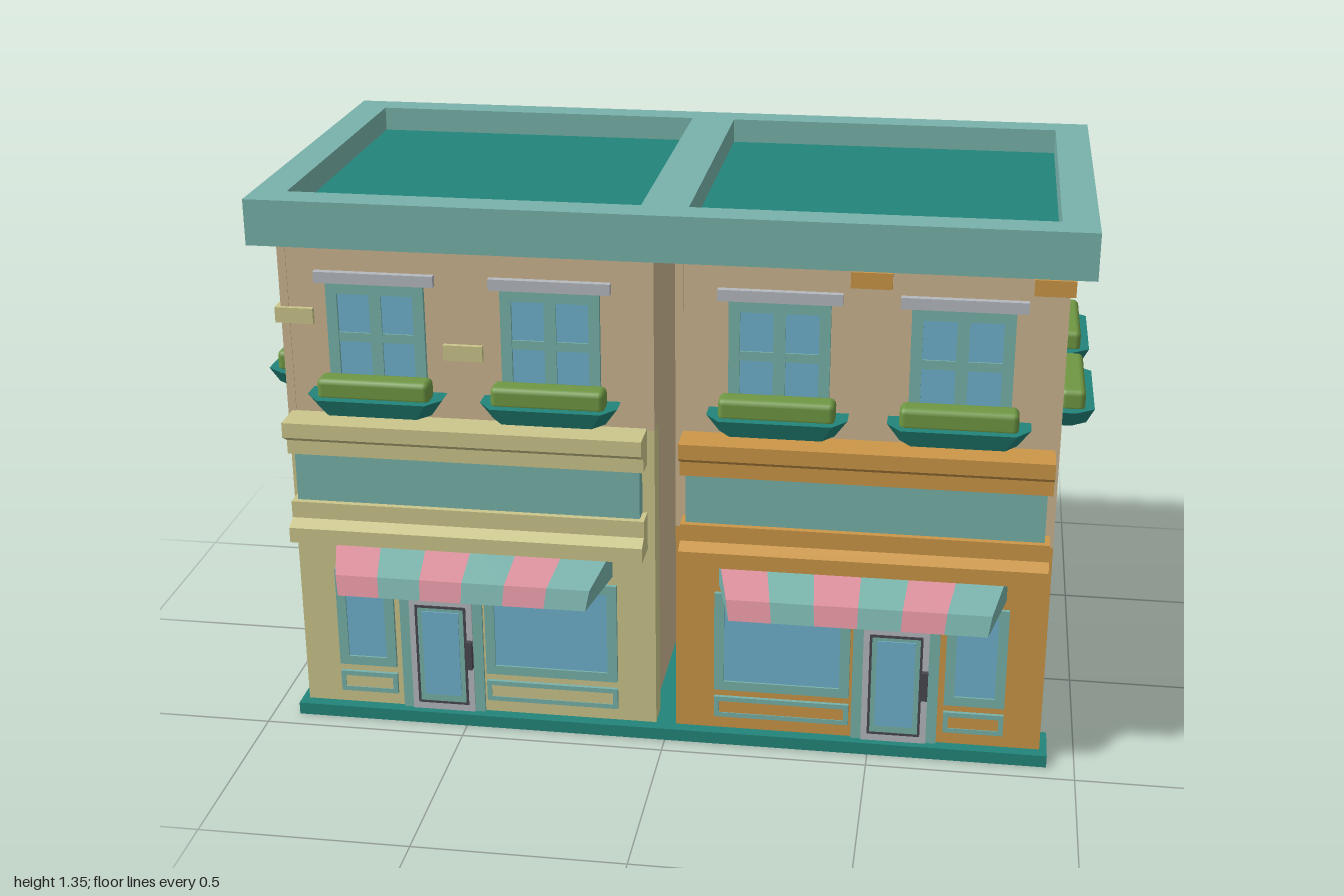
import * as THREE from 'three';
import { RoundedBoxGeometry } from 'three/addons/geometries/RoundedBoxGeometry.js';

const mat = (name, color) => {
  const m = new THREE.MeshStandardMaterial({ color });
  m.name = name;
  return m;
};
const M = {
  beige: mat('beige plaster', 0xcbb590),
  orange: mat('orange paint', 0xcb9647),
  olive: mat('olive paint', 0xcbc68b),
  teal: mat('pale teal trim', 0x78b2aa),
  dark: mat('deep teal', 0x22857a),
  glass: mat('window glass', 0x6fb1cd),
  grey: mat('grey stone', 0xb5b9bf),
  green: mat('leaf green', 0x6f9743),
  pink: mat('awning pink', 0xda8f9b),
  iron: mat('dark iron', 0x4a4750),
};

const FRONT = 0.42, BACK = -0.47, SIDE = 0.9, WINDOW_X = [0.267, 0.683];

function add(parent, name, geometry, material) {
  const mesh = new THREE.Mesh(geometry, material);
  mesh.name = name;
  parent.add(mesh);
  return mesh;
}
function box(parent, name, material, x0, x1, y0, y1, z0, z1) {
  const g = new THREE.BoxGeometry(Math.abs(x1 - x0), y1 - y0, Math.abs(z1 - z0));
  g.translate((x0 + x1) / 2, (y0 + y1) / 2, (z0 + z1) / 2);
  return add(parent, name, g, material);
}
function group(parent, name) {
  const g = new THREE.Group();
  g.name = name;
  parent.add(g);
  return g;
}
const polygon = pts => new THREE.Shape(pts.map(p => new THREE.Vector2(...p)));
const rect = (x0, x1, y0, y1) => [[x0, y0], [x1, y0], [x1, y1], [x0, y1]];
const extrude = (shape, depth) => new THREE.ExtrudeGeometry(shape, { depth, bevelEnabled: false });

// Rectangular frame with an open middle
function frame(parent, name, material, x0, x1, y0, y1, t, z0, depth) {
  const s = polygon(rect(x0, x1, y0, y1));
  s.holes.push(new THREE.Path(polygon(rect(x0 + t, x1 - t, y0 + t, y1 - t)).getPoints()));
  return add(parent, name, extrude(s, depth).translate(0, 0, z0), material);
}

// Flower box: chamfered plan, narrowing downwards, with a clipped hedge
function planter(parent, y) {
  const g = group(parent, 'flowerBox');
  const geo = extrude(polygon([[-0.163, 0], [0.163, 0], [0.163, 0.05], [0.13, 0.093], [-0.13, 0.093], [-0.163, 0.05]]), 0.042);
  const p = geo.attributes.position;
  for (let i = 0; i < p.count; i++) {
    const low = p.getZ(i) < 0.01;
    // plan y becomes outward z, extrusion becomes height; x flips to keep the winding
    p.setXYZ(i, -p.getX(i) * (low ? 0.82 : 1), y + p.getZ(i), p.getY(i) * (low ? 0.82 : 1));
  }
  geo.computeVertexNormals();
  add(g, 'trough', geo, M.dark);
  add(g, 'hedge', new RoundedBoxGeometry(0.27, 0.055, 0.058, 2, 0.014).translate(0, y + 0.06, 0.042), M.green);
}

// Window in a wall frame: x along the wall, z outwards
function windowUnit(parent, y, { columns = 1, sill = false, box: hasBox = false }) {
  const g = group(parent, 'window');
  const w = 0.117, h = 0.262;
  box(g, 'glass', M.glass, -w + 0.01, w - 0.01, y + 0.01, y + h - 0.01, 0, 0.004);
  frame(g, 'windowFrame', M.teal, -w, w, y, y + h, 0.026, 0, 0.012);
  box(g, 'transom', M.teal, -0.095, 0.095, y + 0.118, y + 0.14, 0, 0.008);
  if (columns === 2) box(g, 'mullion', M.teal, -0.014, 0.014, y + 0.02, y + h - 0.02, 0, 0.009);
  box(g, 'lintel', M.grey, -0.143, 0.143, y + h, y + h + 0.027, 0, 0.017);
  if (sill) box(g, 'sill', M.grey, -0.143, 0.143, y - 0.026, y, 0, 0.017);
  if (hasBox) planter(g, y - 0.045);
}
function wall(parent, name, x, z, turn) {
  const g = group(parent, name);
  g.position.set(x, 0, z);
  g.rotation.y = turn;
  return g;
}

// Flat-sided quads, corners counter-clockwise from outside
function quads(list) {
  const g = new THREE.BufferGeometry();
  const v = list.flatMap(([a, b, c, d]) => [a, b, c, a, c, d]).flat();
  g.setAttribute('position', new THREE.Float32BufferAttribute(v, 3));
  g.computeVertexNormals();
  return g;
}
function awning(parent, cx) {
  const g = group(parent, 'awning');
  const profile = [[0.495, FRONT, 0.343], [0.447, 0.55, 0.31], [0.4, 0.565, 0.302], [0.425, FRONT, 0.343]];
  const section = t => profile.map(([y, z, half]) => [cx + (2 * t - 1) * half, y, z]);
  for (let i = 0; i < 6; i++) {
    const a = section(i / 6), b = section((i + 1) / 6);
    const strips = [0, 1, 2].map(k => [a[k], a[k + 1], b[k + 1], b[k]]);
    add(g, 'awningStripe', quads(strips), i % 2 ? M.teal : M.pink);
  }
  const l = section(0), r = section(1);
  add(g, 'awningCheeks', quads([[l[0], l[3], l[2], l[1]], [r[0], r[1], r[2], r[3]]]), M.teal);
}

// Shop front: s mirrors the layout, door handle stays on the viewer's right
function shopFront(parent, s, paint) {
  const g = group(parent, 'shopFront');
  const span = (a, b) => (s > 0 ? [a, b] : [-b, -a]);
  for (const [a, b] of [[0.12, 0.45], [0.68, 0.825]]) {
    const [x0, x1] = span(a, b);
    box(g, 'shopGlass', M.glass, x0 + 0.01, x1 - 0.01, 0.15, 0.39, FRONT, FRONT + 0.005);
    frame(g, 'shopWindowFrame', M.teal, x0, x1, 0.14, 0.402, 0.024, FRONT, 0.01);
    box(g, 'lowerPanel', paint, x0 + 0.012, x1 - 0.012, 0.075, 0.11, FRONT, FRONT + 0.007);
    frame(g, 'lowerPanelTrim', M.teal, x0, x1, 0.065, 0.12, 0.012, FRONT, 0.009);
  }
  const [x0, x1] = span(0.457, 0.665);
  box(g, 'doorSurround', M.teal, x0, x1, 0.03, 0.368, FRONT, FRONT + 0.008);
  box(g, 'doorLeaf', M.grey, x0 + 0.025, x1 - 0.025, 0.03, 0.335, FRONT, FRONT + 0.012);
  frame(g, 'doorSash', M.iron, x0 + 0.04, x1 - 0.04, 0.05, 0.32, 0.006, FRONT, 0.015);
  box(g, 'doorPanel', M.teal, x0 + 0.045, x1 - 0.045, 0.055, 0.315, FRONT, FRONT + 0.014);
  box(g, 'doorGlass', M.glass, x0 + 0.058, x1 - 0.058, 0.075, 0.305, FRONT, FRONT + 0.017);
  box(g, 'doorHandle', M.iron, x1 - 0.04, x1 - 0.025, 0.155, 0.23, FRONT + 0.01, FRONT + 0.026);

  // Sign board between two stepped mouldings
  const [m0, m1] = span(0.043, 0.905);
  const moulding = (name, pts) => {
    const geo = extrude(polygon(pts), m1 - m0).rotateY(-Math.PI / 2).translate(m1, 0, 0);
    add(g, name, geo, paint);
  };
  moulding('upperMoulding', [[0.41, 0.725], [0.475, 0.725], [0.475, 0.76], [0.505, 0.778], [0.505, 0.815], [0.41, 0.815]]);
  moulding('lowerMoulding', [[0.41, 0.505], [0.505, 0.505], [0.505, 0.543], [0.475, 0.558], [0.475, 0.6], [0.41, 0.6]]);
  box(g, 'signBoard', M.teal, m0 + 0.012, m1 - 0.012, 0.59, 0.73, 0.41, 0.46);
  awning(g, s * 0.4725);
}

function building(root, s, paint, split) {
  const g = group(root, s > 0 ? 'orangeHouse' : 'oliveHouse');
  box(g, 'walls', M.beige, s * 0.04, s * SIDE, 0.03, 1.26, BACK + 0.002, FRONT - 0.002);
  box(g, 'paintedFront', paint, s * 0.04, s * SIDE, 0.03, split, FRONT - 0.004, FRONT);
  // Painted lower back, with ragged points on the olive house
  const outline = s > 0 ? rect(0.04, SIDE, 0.03, split)
    : [[-0.9, 0.03], [-0.04, 0.03], [-0.04, 0.82], [-0.07, 0.85], [-0.09, 0.92], [-0.12, 0.83], [-0.82, 0.83], [-0.85, 0.92], [-0.88, 0.83], [-0.9, 0.82]];
  add(g, 'paintedBack', extrude(polygon(outline), 0.004).translate(0, 0, BACK), paint);
  for (const [a, b] of [[0.025, 0.045], [0.895, 0.915]])
    for (const [z0, z1] of [[0.355, FRONT], [BACK, -0.4]]) {
      box(g, 'cornerStripLower', paint, s * a, s * b, 0.03, split, z0, z1);
      box(g, 'cornerStripUpper', M.beige, s * a, s * b, split, 1.26, z0, z1);
    }
  shopFront(g, s, paint);

  // Windows on three sides
  for (const x of WINDOW_X) {
    windowUnit(wall(g, 'frontWall', s * x, FRONT, 0), 0.883, { columns: 2, box: true });
    const back = wall(g, 'backWall', s * x, BACK, Math.PI);
    windowUnit(back, 0.14, { columns: 2 });
    windowUnit(back, 0.511, { columns: 2, box: true });
    windowUnit(back, 0.883, { columns: 2, box: true });
  }
  for (const z of [0.183, -0.232]) {
    const side = wall(g, 'sideWall', s * SIDE, z, s * Math.PI / 2);
    windowUnit(side, 0.14, { sill: true });
    windowUnit(side, 0.883, { box: true });
  }

  // Exposed bricks
  const brick = (x0, x1, y, z0, z1) => box(g, 'brick', paint, s * x0, s * x1, y, y + 0.038, z0, z1);
  for (const [z, y] of [[0.212, 0.68], [-0.028, 0.32], [-0.29, 0.755], [-0.317, 0.56]])
    brick(SIDE - 0.01, SIDE + 0.012, y, z - 0.047, z + 0.047);
  const rows = s > 0
    ? { back: [1.187, 0.705, 0.448, 0.15], front: 1.187, mid: [[0.473, 1.187, FRONT]], midBack: [1.187] }
    : { back: [1.13, 0.71, 0.455, 0.15], front: 1.04, mid: [[0.477, 0.965, FRONT]], midBack: [0.965, 0.57, 0.22] };
  for (const y of rows.back) brick(0.835, 0.927, y, BACK - 0.01, -0.438);
  brick(0.835, 0.927, rows.front, 0.39, FRONT + 0.01);
  for (const [x, y, z] of rows.mid) brick(x - 0.047, x + 0.047, y, z - 0.01, z + 0.01);
  for (const y of rows.midBack) brick(0.428, 0.522, y, BACK - 0.01, BACK + 0.01);
}

export function createModel() {
  const root = new THREE.Group();
  root.name = 'shopRow';

  // Plinth with shallow side notches
  box(root, 'plinth', M.dark, -0.915, 0.915, 0, 0.03, -0.49, 0.44);
  box(root, 'plinthFront', M.dark, -0.933, 0.933, 0, 0.031, 0.335, 0.45);
  box(root, 'plinthBack', M.dark, -0.933, 0.933, 0, 0.031, -0.5, -0.385);

  building(root, 1, M.orange, 0.57);
  building(root, -1, M.olive, 0.81);

  // Parapet with two sunken roof decks
  const s = polygon(rect(-0.97, 0.97, -0.47, 0.523));
  for (const [a, b] of [[-0.89, -0.057], [0.053, 0.887]])
    s.holes.push(new THREE.Path(polygon(rect(a, b, -0.39, 0.45)).getPoints()));
  add(root, 'parapet', extrude(s, 0.11).rotateX(-Math.PI / 2).translate(0, 1.24, 0), M.teal);
  for (const [a, b] of [[-0.895, -0.05], [0.048, 0.892]])
    box(root, 'roofDeck', M.dark, a, b, 1.245, 1.29, -0.455, 0.395);
  return root;
}
